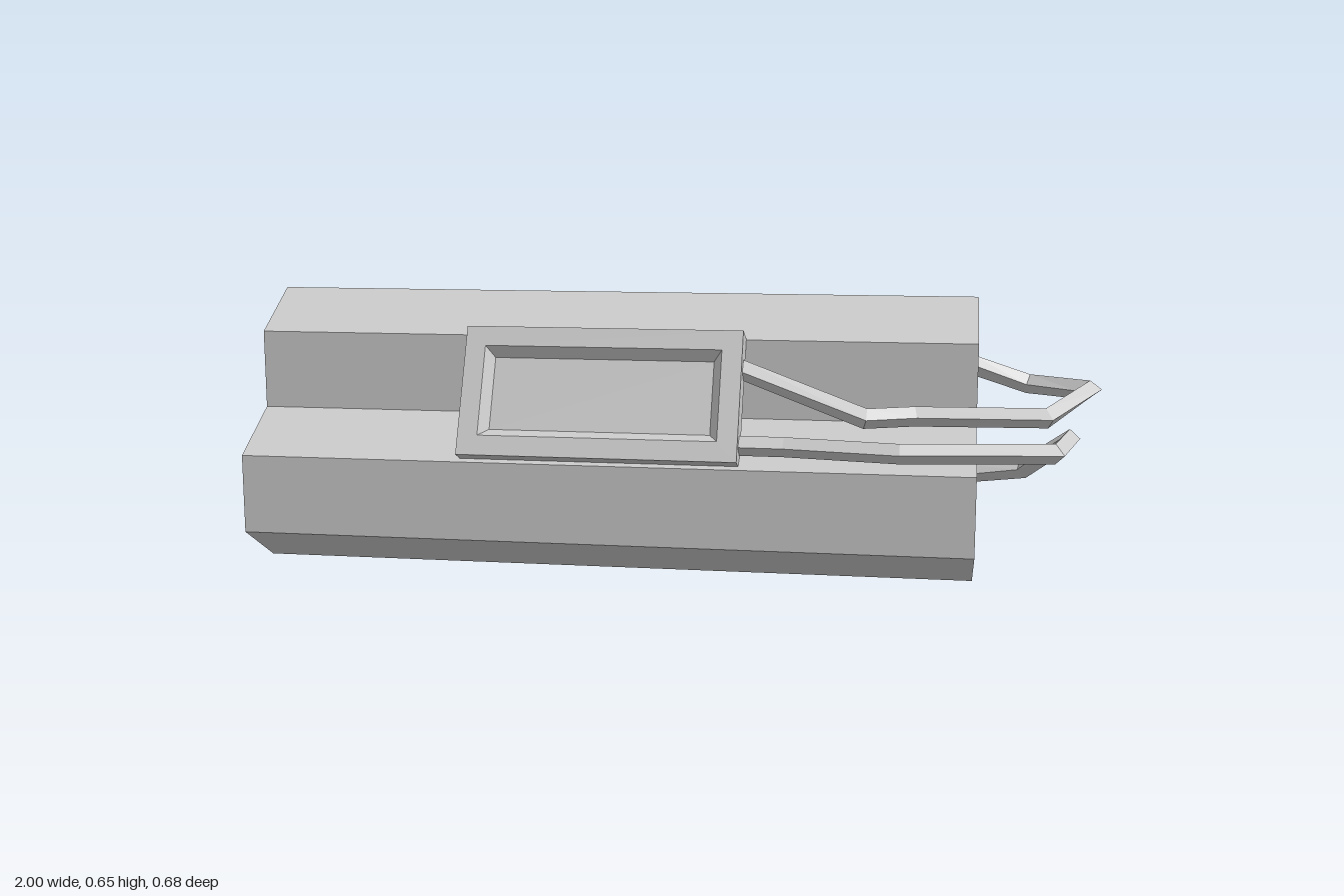
import * as THREE from 'three';

const material = new THREE.MeshStandardMaterial({ color: 0xcccccc, flatShading: true });

// Closed solid through a list of four-cornered loops, capped at both ends
function loft(loops) {
  const pos = [];
  const quad = (a, b, c, d) => [a, b, c, a, c, d].forEach((p) => pos.push(p.x, p.y, p.z));
  for (let j = 0; j < loops.length - 1; j++) {
    for (let i = 0; i < 4; i++) {
      const k = (i + 1) % 4;
      quad(loops[j][i], loops[j][k], loops[j + 1][k], loops[j + 1][i]);
    }
  }
  quad(...[...loops[0]].reverse());
  quad(...loops[loops.length - 1]);
  const g = new THREE.BufferGeometry();
  g.setAttribute('position', new THREE.Float32BufferAttribute(pos, 3));
  g.computeVertexNormals();
  return g;
}

// Rectangle loop facing +z
function rect(hx, hy, z) {
  return [[-1, -1], [1, -1], [1, 1], [-1, 1]].map(([x, y]) => new THREE.Vector3(x * hx, y * hy, z));
}

// Diamond-section wire with mitred bends
function wire(points, r) {
  const p = points.map((a) => new THREE.Vector3(...a));
  const dir = (i) => p[i + 1].clone().sub(p[i]).normalize();
  const last = p.length - 1;
  return loft(p.map((c, i) => {
    const d1 = dir(Math.max(i - 1, 0));
    const d2 = dir(Math.min(i, last - 1));
    const t = d1.clone().add(d2).normalize();
    const bend = d2.clone().sub(d1).normalize();
    const stretch = 1 / t.dot(d1) - 1;
    const s = new THREE.Vector3(0, 1, 0).cross(t).normalize();
    const u = t.clone().cross(s);
    return [s, u, s.clone().negate(), u.clone().negate()].map((v) => {
      const o = v.clone().addScaledVector(bend, v.dot(bend) * stretch);
      return o.multiplyScalar(r).add(c);
    });
  }));
}

export function createModel() {
  const model = new THREE.Group();
  const add = (name, geometry) => {
    const mesh = new THREE.Mesh(geometry, material);
    mesh.name = name;
    model.add(mesh);
    return mesh;
  };

  // Bundle of three hexagonal bars: outline as [z, y]
  const outline = [
    [0.30, 0.093], [0.14, 0], [-0.02, 0.093], [-0.18, 0], [-0.34, 0.093], [-0.34, 0.278],
    [-0.18, 0.37], [-0.18, 0.555], [-0.02, 0.648], [0.14, 0.555], [0.14, 0.37], [0.30, 0.278],
  ];
  const shape = new THREE.Shape(outline.map(([z, y]) => new THREE.Vector2(-z, y)));
  const bars = new THREE.ExtrudeGeometry(shape, { depth: 1.71, bevelEnabled: false });
  bars.rotateY(Math.PI / 2).translate(-1, 0, 0);
  add('hexagonalBars', bars);

  // Tilted box with a recessed screen, resting in the front groove
  const box = add('screenBox', loft([
    rect(0.325, 0.155, -0.064),
    rect(0.325, 0.155, 0),
    rect(0.278, 0.108, 0),
    rect(0.258, 0.087, -0.027),
  ]));
  box.position.set(-0.147, 0.442, 0.261);
  box.rotation.x = -0.423;

  // Wires from the box around to the end of the bars
  add('upperWire', wire([
    [0.16, 0.497, 0.19], [0.46, 0.394, 0.243], [0.57, 0.394, 0.195], [0.865, 0.394, 0.175],
    [0.967, 0.439, 0.03], [0.835, 0.435, -0.082], [0.69, 0.488, -0.035],
  ], 0.023));
  add('lowerWire', wire([
    [0.16, 0.329, 0.27], [0.28, 0.329, 0.272], [0.54, 0.329, 0.317], [0.88, 0.329, 0.265],
    [0.925, 0.329, 0.07], [0.83, 0.226, -0.085], [0.69, 0.2, -0.135],
  ], 0.023));

  return model;
}
